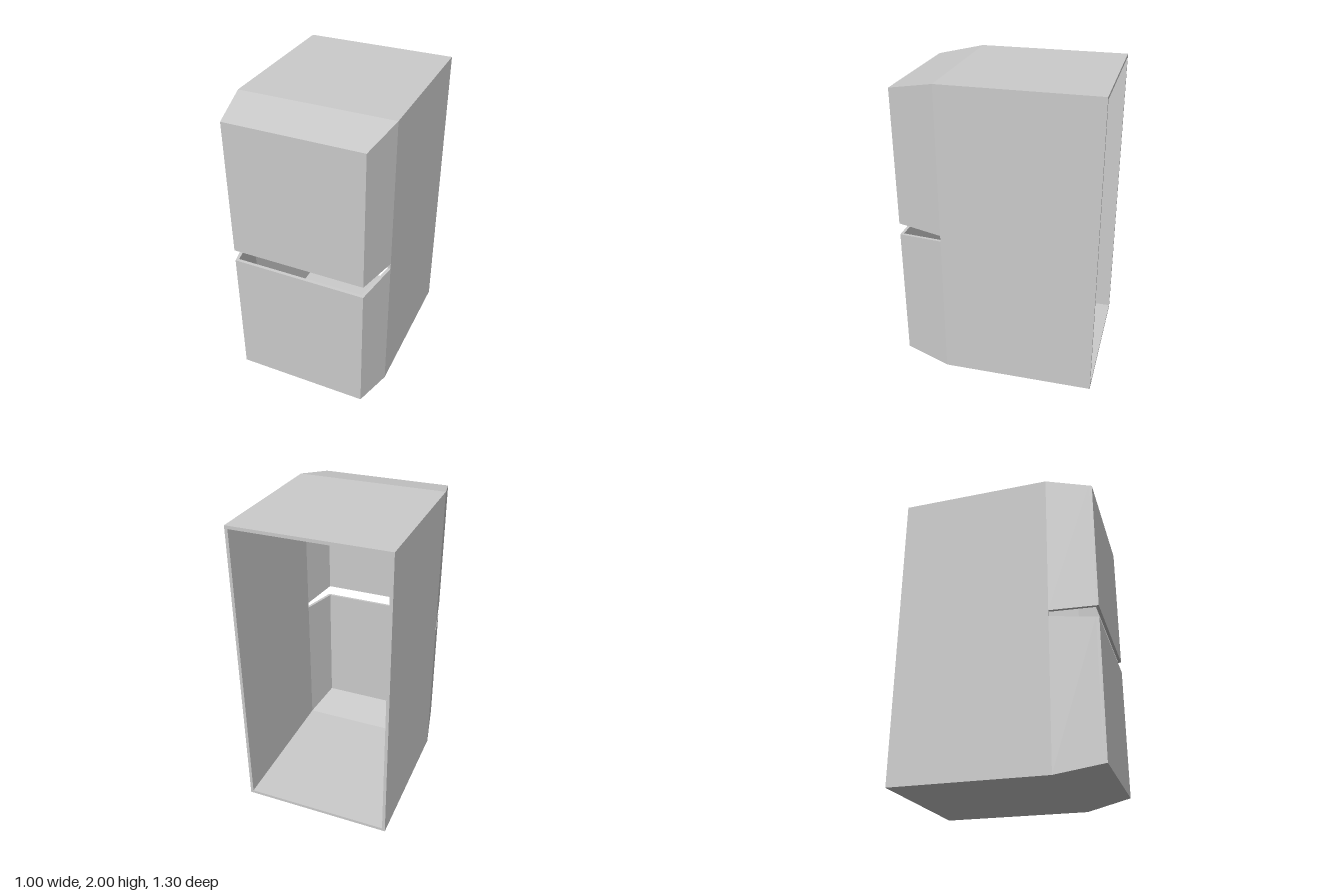
import * as THREE from 'three';

const HALF_W = 0.5, TOP = 2, WALL = 0.02;      // outer size and wall thickness
const BACK = -0.65, BEND = 0.35, FRONT = 0.65; // depths along z
const INSET = 0.06, SLOT = 0.02;               // front taper, half slot height at its inner end

const material = new THREE.MeshStandardMaterial({ color: 0xcccccc, flatShading: true });

function polygon(points, Type = THREE.Shape) {
  return new Type(points.map(([x, y]) => new THREE.Vector2(x, y)));
}

function extrude(shape, z0, z1) {
  return new THREE.ExtrudeGeometry(shape, { depth: z1 - z0, bevelEnabled: false }).translate(0, 0, z0);
}

// Narrows the sides and top towards the front and widens the slot
function taper(geometry) {
  const g = geometry.index ? geometry.toNonIndexed() : geometry;
  const p = g.attributes.position;
  for (let i = 0; i < p.count; i++) {
    const t = (p.getZ(i) - BEND) / (FRONT - BEND);
    const x = p.getX(i), y = p.getY(i);
    p.setX(i, x - Math.sign(x) * INSET * t);
    p.setY(i, y > 1.5 ? y - INSET * t : y + SLOT * t);
  }
  g.computeVertexNormals();
  return g;
}

function addMesh(parent, name, geometry) {
  const mesh = new THREE.Mesh(geometry, material);
  mesh.name = name;
  parent.add(mesh);
}

export function createModel() {
  const model = new THREE.Group();
  model.name = 'slottedCase';
  const w = HALF_W, iw = HALF_W - WALL, it = TOP - WALL, low = 1 + SLOT;

  // Straight rectangular sleeve, open at the back
  const sleeve = polygon([[-w, 0], [w, 0], [w, TOP], [-w, TOP]]);
  sleeve.holes.push(polygon([[-iw, WALL], [-iw, it], [iw, it], [iw, WALL]], THREE.Path));
  addMesh(model, 'sleeve', extrude(sleeve, BACK, BEND));

  // Tapered front walls and front plate, shared by both halves
  const walls = polygon([
    [-w, low], [-iw, low], [-iw, it], [iw, it], [iw, low], [w, low], [w, TOP], [-w, TOP],
  ]);
  const wallGeometry = taper(extrude(walls, BEND, FRONT - WALL));
  const plate = polygon([[-w, low], [w, low], [w, TOP], [-w, TOP]]);
  const plateGeometry = taper(extrude(plate, FRONT - WALL, FRONT));

  // The lower half is the upper one turned over about the slot
  for (const [name, turn] of [['upperFront', 0], ['lowerFront', Math.PI]]) {
    const half = new THREE.Group();
    half.name = name;
    addMesh(half, 'taperedWalls', wallGeometry);
    addMesh(half, 'frontPlate', plateGeometry);
    half.rotation.z = turn;
    half.position.y = turn ? 2 : 0;
    model.add(half);
  }
  return model;
}
